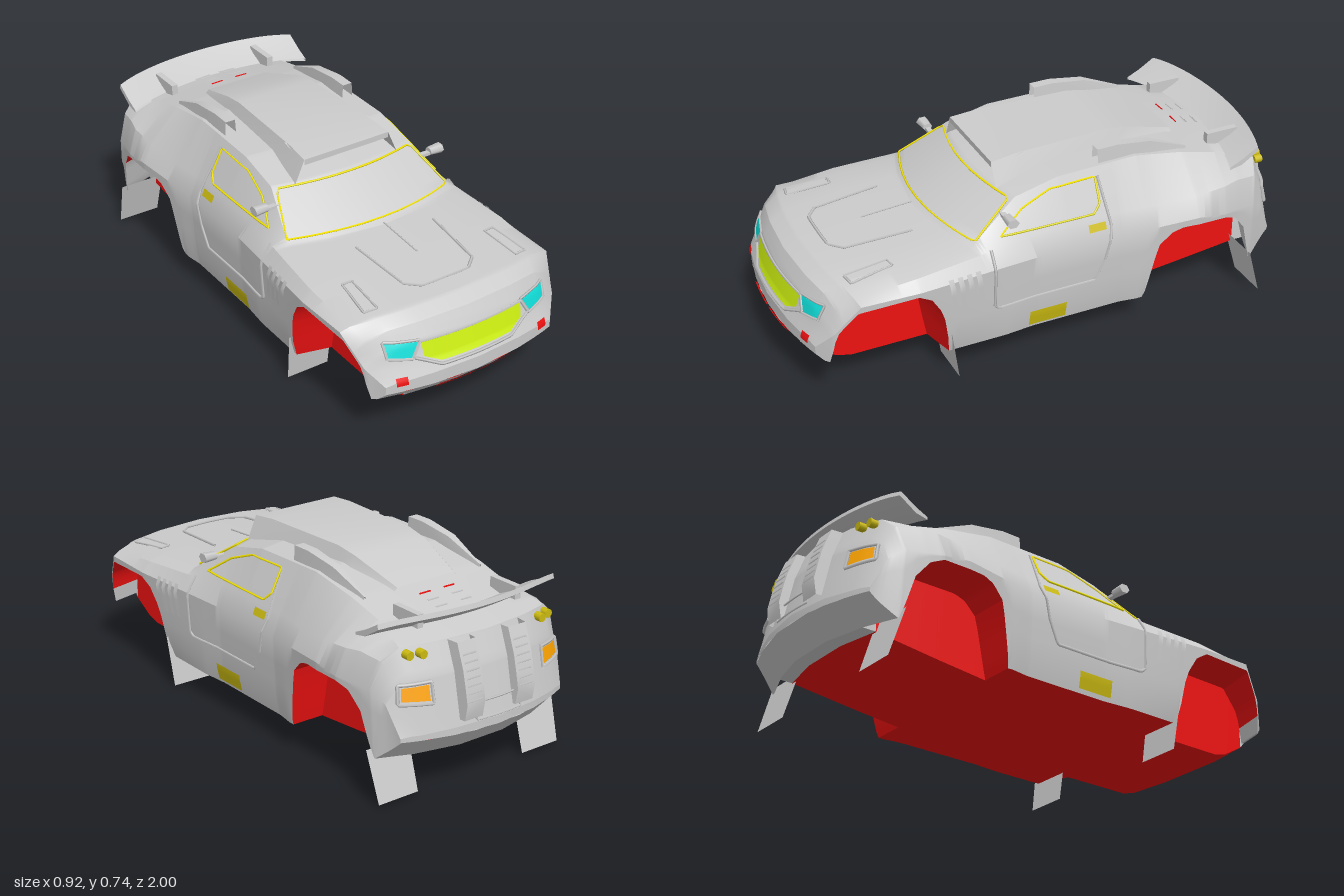
import * as THREE from 'three';
import { toCreasedNormals } from 'three/addons/utils/BufferGeometryUtils.js';

const GREY = 0xcccccc, RED = 0xee1111, YELLOW = 0xffee00, GOLD = 0xccbb11;
const LIME = 0xccee11, CYAN = 0x11ddd8, ORANGE = 0xffa500;
const lerp = THREE.MathUtils.lerp;

// Body lines as [z, value] keys from nose to tail
const floorLine = [[.995, .23], [.95, .18], [.86, .13], [.8, .115], [-.35, .115], [-.85, .165], [-.91, .165], [-.99, .25]];
const halfWidth = [[.995, .36], [.95, .41], [.86, .45], [.6, .455], [.42, .435], [.2, .42], [-.25, .42], [-.55, .455], [-.72, .455], [-.91, .42], [-.99, .37]];
const beltLine = [[.995, .26], [.95, .325], [.86, .44], [-.25, .43], [-.55, .445], [-.91, .42], [-.95, .38], [-.99, .265]];
const shoulderLine = [[.995, .27], [.95, .35], [.92, .41], [.86, .455], [.2, .51], [-.4, .51], [-.8, .535], [-.91, .52], [-.95, .43], [-.99, .27]];
const roofWidth = [[.995, .30], [.86, .33], [.42, .36], [.2, .305], [-.72, .295], [-.91, .33], [-.99, .30]];
const topLine = [[.995, .28], [.97, .33], [.95, .40], [.92, .455], [.86, .485], [.42, .515], [.2, .645], [0, .685], [-.35, .69], [-.55, .655], [-.91, .575], [-.95, .47], [-.99, .28]];
const planBow = [[.995, .4], [.6, .15], [.42, .6], [.2, .6], [-.2, 0], [-.55, 0], [-.91, -.6], [-.99, -.6]];
const frontArch = [[.905, .15], [.88, .31], [.85, .37], [.81, .415], [.58, .42], [.53, .39], [.48, .31], [.44, .115]];
const rearArch = [[-.345, .115], [-.39, .35], [-.44, .40], [-.485, .415], [-.66, .415], [-.71, .395], [-.76, .33], [-.8, .165]];

function at(line, z) {
  let i = 0;
  while (i < line.length - 2 && z < line[i + 1][0]) i++;
  const [z0, v0] = line[i], [z1, v1] = line[i + 1];
  return lerp(v0, v1, THREE.MathUtils.clamp((z0 - z) / (z0 - z1), 0, 1));
}
function archHeight(z) {
  const arch = [frontArch, rearArch].find(a => z <= a[0][0] && z >= a.at(-1)[0]);
  return arch ? at(arch, z) : 0;
}
const bow = (zs, x) => zs - at(planBow, zs) * x * x;

// Half section, from the lower edge up to the roof centre
function section(zs, arched = true) {
  const floor = at(floorLine, zs), w = at(halfWidth, zs), belt = at(beltLine, zs);
  const roofX = at(roofWidth, zs), top = at(topLine, zs);
  const sill = Math.min(.40, 1.25 * w - .135);
  const low = arched ? Math.min(Math.max(floor, archHeight(bow(zs, w))), belt - .015) : floor;
  const side = [0, .2, .45, .7, 1].map(t => {
    const y = lerp(low, belt, t);
    return [lerp(sill, w, Math.sqrt(Math.max(0, (y - .115) / (belt - .115)))), y];
  });
  return [...side, [w - .035, at(shoulderLine, zs)], [roofX, top - .01], [roofX * .6, top - .003], [0, top]];
}
function topAt(x, zs) {
  const p = section(zs).slice(4), ax = Math.abs(x);
  for (let i = 1; i < p.length; i++) if (ax >= p[i][0] && ax <= p[i - 1][0])
    return lerp(p[i][1], p[i - 1][1], (ax - p[i][0]) / (p[i - 1][0] - p[i][0]));
  return p[0][1];
}

// Projections of flat outlines onto the body
const E = .006;
const onTop = (x, zs) => [x, topAt(x, zs) + E, bow(zs, x)];
const onEnd = (tip, inner, out) => (x, y) => {
  let a = tip, b = inner;
  for (let i = 0; i < 24; i++) { const m = (a + b) / 2; if (topAt(x, m) >= y) b = m; else a = m; }
  if (tip > 0 && y < .23) b = .955 + (y - .185) * .89;
  return [x, y, bow(b, x) + out];
};
const onFront = onEnd(.995, .8, E), onRear = onEnd(-.99, -.8, -E);
const onSide = s => (z, y) => {
  let x = .42;
  for (let k = 0; k < 3; k++) {
    const p = section(z + at(planBow, z) * x * x, false);
    for (let i = 1; i < p.length; i++) if (y >= p[i - 1][1] && y <= p[i][1]) {
      x = lerp(p[i - 1][0], p[i][0], (y - p[i - 1][1]) / (p[i][1] - p[i - 1][1] || 1));
      break;
    }
  }
  return [s * (x + E), y, z];
};

export function createModel() {
  const car = new THREE.Group();
  car.name = 'rallyCar';
  const mats = {};
  const mat = c => mats[c] ??= new THREE.MeshStandardMaterial({ color: c, side: THREE.DoubleSide });
  const add = (name, geo, color = GREY) => {
    const m = new THREE.Mesh(geo, mat(color));
    m.name = name;
    car.add(m);
    return m;
  };
  function loft(name, rows, color = GREY) {
    const n = rows[0].length, idx = [];
    for (let r = 0; r < rows.length - 1; r++) for (let i = 0; i < n - 1; i++) {
      const a = r * n + i, b = a + n;
      idx.push(a, a + 1, b, a + 1, b + 1, b);
    }
    const g = new THREE.BufferGeometry();
    g.setAttribute('position', new THREE.Float32BufferAttribute(rows.flat(2), 3));
    g.setIndex(idx);
    add(name, toCreasedNormals(g, .5), color);
  }
  // Four-cornered panel laid on the body
  function patch(name, c, project, color = GREY, nu = 10, nv = 5) {
    const rows = [];
    for (let j = 0; j <= nv; j++) rows.push(Array.from({ length: nu + 1 }, (_, i) => {
      const u = i / nu, v = j / nv;
      return project(...[0, 1].map(k => lerp(lerp(c[0][k], c[1][k], u), lerp(c[3][k], c[2][k], u), v)));
    }));
    loft(name, rows, color);
  }
  // Thin strip following an outline on the body
  function trim(name, pts, project, color = GREY, r = .004, closed = true) {
    const path = new THREE.CurvePath(), p = closed ? [...pts, pts[0]] : pts, v = [];
    for (let i = 0; i < p.length - 1; i++) for (let t = 0; t < 8; t++)
      v.push(new THREE.Vector3(...project(lerp(p[i][0], p[i + 1][0], t / 8), lerp(p[i][1], p[i + 1][1], t / 8))));
    v.push(new THREE.Vector3(...project(...p.at(-1))));
    for (let i = 1; i < v.length; i++) path.add(new THREE.LineCurve3(v[i - 1], v[i]));
    add(name, new THREE.TubeGeometry(path, v.length * 2, r, 4), color);
  }
  const rect = (a, b, c, d) => [[a, c], [b, c], [b, d], [a, d]];

  // Body shell
  const keys = [floorLine, halfWidth, beltLine, topLine].flatMap(l => l.map(k => k[0]));
  const even = Array.from({ length: 160 }, (_, i) => .995 - i * .0124);
  const zs = [...new Set([...keys, ...even])].sort((a, b) => b - a);
  const full = z => {
    const h = section(z).map(([x, y]) => [x, y, bow(z, x)]);
    return [...h.map(([x, y, zz]) => [-x, y, zz]), ...h.slice(0, -1).reverse()];
  };
  loft('bodyShell', zs.map(full));
  for (const [name, z] of [['noseCap', .995], ['tailCap', -.99]])
    loft(name, [full(z), full(z).map(p => [p[0], at(floorLine, z), p[2]])]);

  // Underside with wheel wells; grey lips under both bumpers
  const under = z => {
    const f = at(floorLine, z), [x, y] = section(z)[0], xi = .27;
    const half = [[x, y], [xi, y], [xi, f], [.1, f]].map(([a, b]) => [a, b, bow(z, a)]);
    return [...half, ...half.map(([a, b, c]) => [-a, b, c]).reverse()];
  };
  loft('underside', zs.filter(z => z <= .95 && z >= -.85).map(under), RED);
  loft('frontBumperLip', zs.filter(z => z >= .95).map(under));
  loft('rearBumperLip', zs.filter(z => z <= -.85).map(under));

  // Roof scoop, open at the front
  loft('roofScoop', [[.18, .225, .185, .725], [.08, .215, .18, .735], [-.3, .185, .165, .737], [-.39, .18, .16, .722], [-.59, .15, .13, .655]]
    .map(([z, wb, wt, y]) => [[-wb, topAt(wb, z) - .01, z], [-wt, y, z], [wt, y, z], [wb, topAt(wb, z) - .01, z]]));
  loft('scoopLip', [[.18, .725], [.18, .703], [.05, .735]].map(([z, y]) => [[-.185, y, z], [.185, y, z]]));

  // Rear spoiler
  const wing = [[-.77, .605], [-.82, .628], [-.885, .668], [-.89, .65], [-.82, .605], [-.77, .595]];
  const wingRows = Array.from({ length: 21 }, (_, i) => {
    const x = lerp(-.40, .40, i / 20), t = (x / .4) ** 2;
    return wing.map(([z, y]) => [x, y - .012 * t ** 3, z + .07 * t]);
  });
  loft('spoiler', wingRows);
  for (const r of [wingRows[0], wingRows[20]]) loft('spoilerTip', [r.slice(0, 3), r.slice(3).reverse()]);

  // Windscreen frame, grille and bonnet
  trim('windscreenFrame', [[-.355, .4], [.355, .4], [.295, .215], [-.295, .215]], onTop, YELLOW);
  patch('grille', [[-.21, .34], [.21, .34], [.215, .392], [-.215, .392]], onFront, LIME, 16);
  patch('grilleLower', [[-.15, .312], [.15, .312], [.21, .34], [-.21, .34]], onFront, LIME, 16);
  trim('grilleFrame', [[-.22, .395], [-.25, .345], [-.15, .3], [.15, .3], [.25, .345], [.22, .395]], onFront, GREY, .006);
  trim('bonnetScoop', [[-.17, .5], [-.15, .75], [-.1, .79], [.1, .79], [.15, .75], [.17, .5]], onTop, GREY, .006, false);
  trim('bonnetRidge', [[0, .42], [0, .62]], onTop, GREY, .004, false);

  // Rear deck vents and plate recess
  for (const x of [.02, -.09]) {
    patch('rearDeckVent', rect(x, x + .07, -.62, -.77), onTop);
    for (let i = 0; i < 3; i++)
      trim('deckVentSlat', [[x + .01, -.65 - i * .045], [x + .06, -.65 - i * .045]], onTop, i ? GREY : RED, .004, false);
  }
  trim('rearPlateRecess', rect(-.1, .1, .29, .35), onRear);

  // Mirrored parts
  for (const s of [1, -1]) {
    const m = pts => pts.map(([x, y]) => [s * x, y]), side = onSide(s);
    patch('headlight', m([[.335, .36], [.255, .345], [.22, .395], [.34, .407]]), onFront, CYAN);
    trim('headlightFrame', m([[.34, .355], [.25, .338], [.215, .4], [.345, .412]]), onFront, GREY, .005);
    patch('fogLight', m(rect(.283, .325, .258, .288)), onFront, RED, 4, 3);
    for (let i = 0; i < 3; i++)
      patch('lowerSlat', m(rect(.01, .165, .192 + i * .014, .202 + i * .014)), onFront, RED, 6, 1);
    patch('bonnetVent', m(rect(.29, .345, .66, .83)), onTop);
    trim('bonnetVentLip', m([[.29, .65], [.3, .83], [.35, .83], [.33, .65]]), onTop, GREY, .005);

    // Side window, door, plate and wing vent
    trim('sideWindowFrame', [[.23, .53], [.13, .6], [.01, .645], [-.17, .65], [-.17, .56], [-.14, .53]], side, YELLOW);
    trim('doorSeam', [[.28, .5], [.28, .28], [.26, .265], [-.13, .265], [-.17, .35], [-.2, .48], [-.18, .65]], side, GREY, .006, false);
    patch('doorHandle', rect(-.11, -.18, .47, .497), side, GOLD, 3, 2);
    patch('sidePlate', rect(.13, -.02, .13, .195), side, GOLD, 4, 4);
    for (let i = 0; i < 4; i++) {
      const z = .325 + i * .036;
      patch('wingVentSlat', [[z, .325], [z + .02, .325], [z + .035, .455], [z + .015, .455]], (a, b) => {
        const p = side(a, b);
        return [p[0] + s * .006, p[1], p[2]];
      }, GREY, 1, 4);
    }

    // Door mirror
    const mirror = add('mirror', new THREE.CylinderGeometry(.019, .015, .055, 6));
    mirror.rotation.z = s * -Math.PI / 2;
    mirror.scale.z = 1.3;
    mirror.position.set(s * .388, .597, .2);
    const stalk = add('mirrorStalk', new THREE.BoxGeometry(.06, .012, .02));
    stalk.position.set(s * .345, .59, .2);

    // Roof pod with open mouth, and spoiler fin
    loft('roofPod', [[-.2, .24, .288, .734], [-.28, .24, .288, .735], [-.42, .245, .285, .715], [-.58, .26, .272, .65]].map(([z, a, b, y]) =>
      [[s * a, topAt(a, z) - .01, z], [s * (a + .004), y, z], [s * (b - .004), y, z], [s * b, topAt(b, z) - .01, z]]));
    const fin = add('spoilerFin', new THREE.BoxGeometry(.025, .05, .13));
    fin.position.set(s * .222, .628, -.76);

    // Rear vent column with slats
    loft('rearVentColumn', [.30, .36, .42, .48, .54, .57].map((y, i) => {
      const z = onRear(.115, y)[2], d = i ? .028 : .005;
      return [[s * .07, y, z + .02], [s * .075, y, z - d], [s * .155, y, z - d], [s * .16, y, z + .02]];
    }));
    for (let i = 0; i < 7; i++)
      trim('rearVentSlat', m([[.085, .37 + i * .026], [.145, .37 + i * .026]]), (x, y) => [x, y, onRear(.115, y)[2] - .025], GREY, .006, false);

    // Tail lamps
    patch('tailLamp', m([[.26, .385], [.355, .39], [.35, .435], [.26, .44]]), onRear, ORANGE);
    trim('tailLampFrame', m([[.25, .375], [.365, .38], [.36, .445], [.25, .45]]), onRear, GREY, .007);
    for (const x of [.27, .315]) {
      const lamp = add('smallLamp', new THREE.CylinderGeometry(.016, .016, .03, 12), GOLD);
      lamp.rotation.x = Math.PI / 2;
      lamp.position.set(s * x, .545, onRear(x, .545)[2] - .008);
    }

    // Mud flaps
    loft('frontMudFlap', [[[s * .245, .2, .45], [s * .43, .2, .45]], [[s * .245, 0, .42], [s * .418, 0, .42]]]);
    loft('rearMudFlap', [[[s * .245, .2, -.8], [s * .43, .2, -.8]], [[s * .245, .01, -.858], [s * .418, .01, -.858]]]);
  }
  return car;
}
